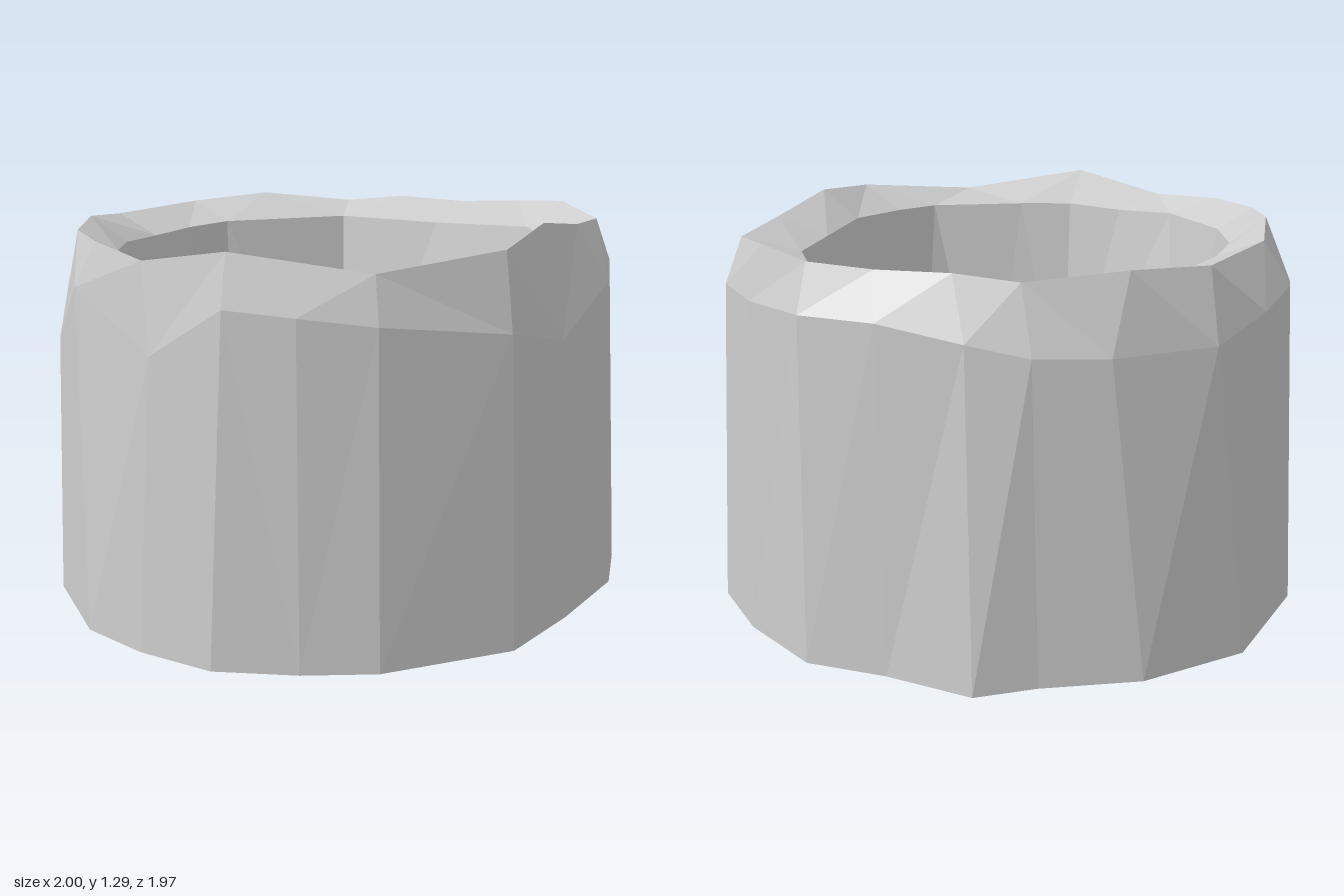
import * as THREE from 'three';

// Rings of [x, z, y], running from the front towards +x
const base = [[-0.07, 0.98], [0.38, 0.86], [0.63, 0.59], [0.89, 0.26], [1, -0.03], [0.94, -0.32], [0.8, -0.62],
  [0.57, -0.77], [0.34, -0.97], [0.13, -0.96], [-0.2, -0.99], [-0.57, -0.88], [-0.88, -0.51], [-0.96, -0.26],
  [-1, -0.02], [-0.92, 0.44], [-0.77, 0.67], [-0.57, 0.87], [-0.31, 0.95]].map(([x, z]) => [x, z, 0]);
const shoulder = [[-0.07, 0.94, 1.05], [0.36, 0.84, 1], [0.6, 0.58, 0.93], [0.86, 0.24, 1.06], [0.95, -0.02, 1.1],
  [0.9, -0.3, 1.11], [0.78, -0.54, 1.12], [0.57, -0.69, 1.12], [0.33, -0.84, 1.08], [0.14, -0.9, 1.04],
  [-0.1, -0.92, 1.03], [-0.45, -0.87, 1.03], [-0.67, -0.7, 1.08], [-0.84, -0.48, 1.1], [-0.94, -0.25, 1.05],
  [-0.98, -0.02, 0.88], [-0.93, 0.25, 1.09], [-0.72, 0.64, 0.93], [-0.52, 0.85, 1.1], [-0.31, 0.92, 1.08]];
const ridge = [[-0.07, 0.89, 1.2], [0.35, 0.79, 1.25], [0.55, 0.5, 1.295], [0.74, 0.25, 1.26], [0.89, 0, 1.25],
  [0.85, -0.28, 1.285], [0.74, -0.48, 1.27], [0.55, -0.59, 1.26], [0.34, -0.73, 1.27], [0.15, -0.81, 1.25],
  [-0.17, -0.86, 1.28], [-0.45, -0.78, 1.26], [-0.75, -0.46, 1.25], [-0.86, -0.2, 1.27], [-0.91, 0.04, 1.25],
  [-0.86, 0.28, 1.24], [-0.73, 0.55, 1.21], [-0.5, 0.81, 1.265]];
const opening = [[0.1, 0.73, 1.17], [0.25, 0.63, 1.18], [0.44, 0.43, 1.2], [0.58, 0.21, 1.19], [0.695, 0, 1.19],
  [0.7, -0.22, 1.2], [0.43, -0.5, 1.19], [0.11, -0.7, 1.2], [-0.35, -0.59, 1.2], [-0.5, -0.5, 1.19],
  [-0.63, -0.35, 1.18], [-0.74, -0.18, 1.18], [-0.78, 0.04, 1.18], [-0.72, 0.38, 1.17], [-0.57, 0.53, 1.16],
  [-0.41, 0.645, 1.17], [-0.23, 0.69, 1.17]];
const floor = [[-0.07, 0.59, 0.22], [0.2, 0.52, 0.2], [0.47, 0.18, 0.2], [0.52, -0.18, 0.2], [0.08, -0.55, 0.2],
  [-0.33, -0.53, 0.2], [-0.52, -0.3, 0.2], [-0.64, 0.13, 0.2], [-0.36, 0.54, 0.28]];

// Unwrapped angle of point i, counted on past the end of the ring
function angle(ring, i) {
  const [x, z] = ring[i % ring.length];
  let a = Math.atan2(x, z);
  if (i > 0 && a < Math.atan2(ring[0][0], ring[0][1])) a += 2 * Math.PI;
  return i >= ring.length ? a + 2 * Math.PI : a;
}

// Joins two rings of differing counts with a band of triangles
function band(a, b) {
  const tris = [];
  const at = (r, i) => r[i % r.length];
  const mid = (r, i) => angle(r, i) + angle(r, i + 1);
  let i = 0, j = 0;
  while (i < a.length || j < b.length) {
    if (j >= b.length || (i < a.length && mid(a, i) <= mid(b, j))) {
      tris.push(at(a, i), at(a, i + 1), at(b, j));
      i++;
    } else {
      tris.push(at(a, i), at(b, j + 1), at(b, j));
      j++;
    }
  }
  return tris;
}

// Fills a ring with triangles around a centre point
function fan(ring, centre, down) {
  return ring.flatMap((p, i) => {
    const q = ring[(i + 1) % ring.length];
    return down ? [q, p, centre] : [p, q, centre];
  });
}

export function createModel() {
  const group = new THREE.Group();
  group.name = 'hollowStump';
  const material = new THREE.MeshStandardMaterial({ color: 0xcccccc, flatShading: true });
  const add = (name, points) => {
    const geometry = new THREE.BufferGeometry();
    const positions = points.flatMap(([x, z, y]) => [x, y, z]);
    geometry.setAttribute('position', new THREE.Float32BufferAttribute(positions, 3));
    geometry.computeVertexNormals();
    const mesh = new THREE.Mesh(geometry, material);
    mesh.name = name;
    group.add(mesh);
  };

  add('bark', band(base, shoulder));
  add('bevel', band(shoulder, ridge));
  add('rim', band(ridge, opening));
  add('innerWall', band(opening, floor));
  add('hollowFloor', fan(floor, [-0.07, 0.03, 0.2], false));
  add('underside', fan(base, [0, 0, 0], true));
  return group;
}
